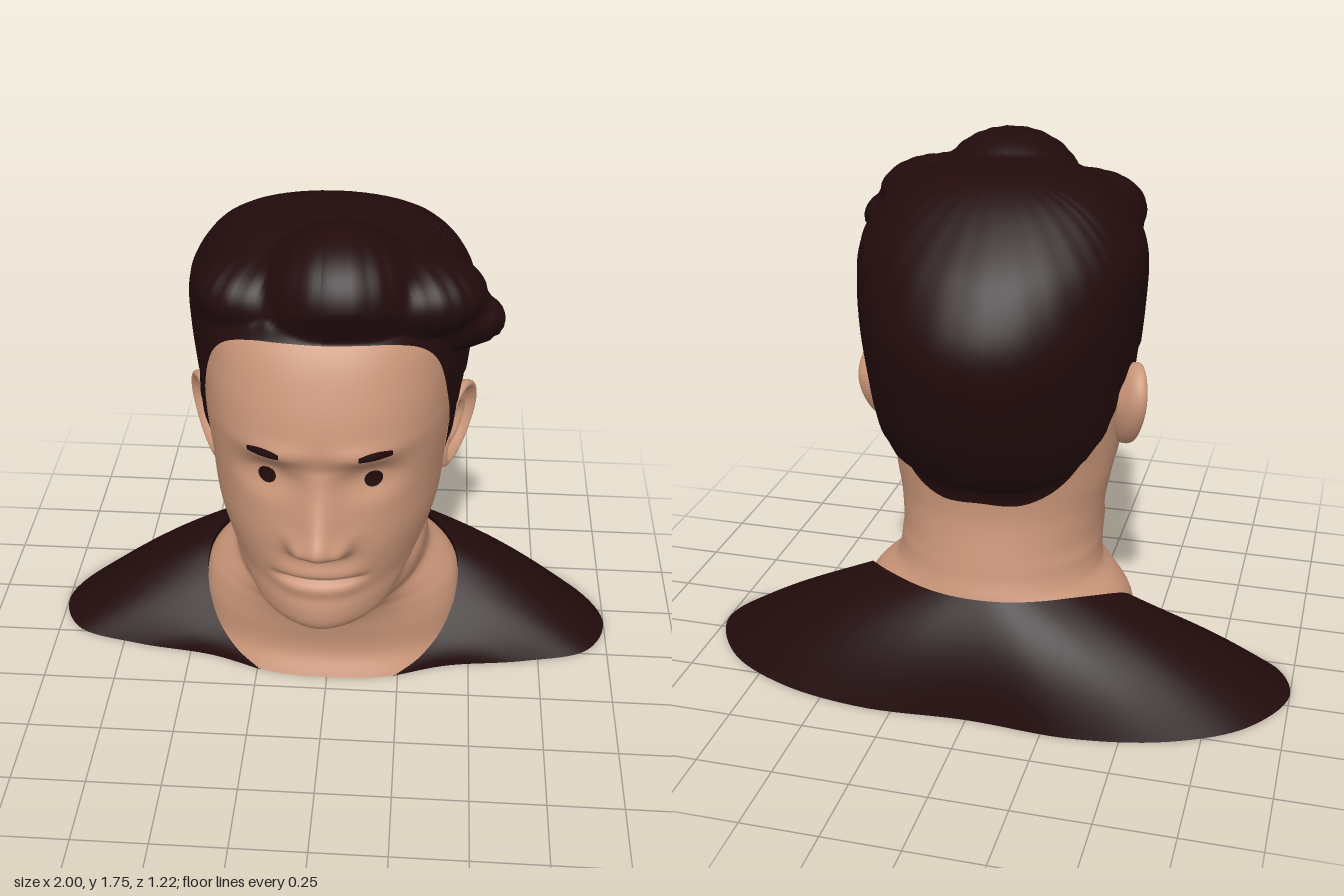
import * as THREE from 'three';
import { mergeVertices } from 'three/addons/utils/BufferGeometryUtils.js';

const skin = new THREE.MeshStandardMaterial({ name: 'skin', color: 0xc99578 });
const dark = new THREE.MeshStandardMaterial({ name: 'darkBrown', color: 0x220b0c, side: THREE.DoubleSide });

const gauss = (d, s) => Math.exp(-(d * d) / (s * s));
const V = (x, y, z) => new THREE.Vector3(x, y, z);
const step = THREE.MathUtils.smoothstep;

// Smooth interpolation of table rows [y, ...values]
function sample(rows, y) {
  const n = rows.length - 1;
  if (y <= rows[0][0]) return rows[0].slice(1);
  if (y >= rows[n][0]) return rows[n].slice(1);
  let i = 0;
  while (rows[i + 1][0] < y) i++;
  const a = rows[Math.max(i - 1, 0)], b = rows[i], c = rows[i + 1], d = rows[Math.min(i + 2, n)];
  const h = c[0] - b[0], t = (y - b[0]) / h, t2 = t * t, t3 = t2 * t;
  return b.slice(1).map((p, k) => {
    const q = c[k + 1], m0 = (q - a[k + 1]) / (c[0] - a[0]) * h, m1 = (d[k + 1] - p) / (d[0] - b[0]) * h;
    return (2 * t3 - 3 * t2 + 1) * p + (t3 - 2 * t2 + t) * m0 + (3 * t2 - 2 * t3) * q + (t3 - t2) * m1;
  });
}

// Smooth grid surface, front side along du x dv
function grid(nu, nv, fn) {
  const pos = [], idx = [];
  for (let j = 0; j <= nv; j++) for (let i = 0; i <= nu; i++) pos.push(...fn(i / nu, j / nv).toArray());
  for (let j = 0; j < nv; j++) for (let i = 0; i < nu; i++) {
    const a = j * (nu + 1) + i, d = a + nu + 1;
    idx.push(a, a + 1, d + 1, a, d + 1, d);
  }
  const g = new THREE.BufferGeometry();
  g.setAttribute('position', new THREE.Float32BufferAttribute(pos, 3));
  g.setIndex(idx);
  const m = mergeVertices(g, 1e-5);
  m.computeVertexNormals();
  return m;
}

// Cross-sections: y, front z, back z, half width, z of widest point, front roundness
const HEAD = [
  [0, .19, -.5, .45, -.12, 2.5], [.08, .15, -.5, .45, -.12, 2.4], [.2, .163, -.49, .455, -.13, 2.2],
  [.28, .19, -.48, .445, -.16, 2], [.33, .23, -.47, .41, -.17, 1.85], [.38, .315, -.455, .352, -.15, 1.7],
  [.42, .40, -.44, .34, -.13, 1.7], [.46, .475, -.43, .337, -.12, 1.75], [.5, .512, -.42, .336, -.1, 1.85],
  [.56, .52, -.405, .338, -.1, 1.95], [.62, .51, -.395, .346, -.09, 2], [.7, .512, -.395, .362, -.08, 2.1],
  [.8, .507, -.41, .376, -.06, 2.25], [.95, .49, -.47, .386, -.05, 2.4], [1.08, .495, -.53, .4, -.05, 2.4],
  [1.16, .502, -.56, .402, -.05, 2.4], [1.3, .465, -.56, .4, -.05, 2.4], [1.45, .39, -.48, .38, -.05, 2.4],
  [1.55, .28, -.37, .32, -.07, 2.3], [1.62, .1, -.23, .18, -.08, 2], [1.64, -.04, -.14, .03, -.09, 2]];
const HAIR = [
  [.62, .1, -.37, .33, -.1, 2], [.7, .2, -.425, .36, -.1, 2], [.9, .3, -.54, .41, -.1, 2],
  [1.05, .3, -.59, .43, -.1, 2], [1.2, .3, -.617, .447, -.1, 2], [1.3, .32, -.602, .455, -.1, 2],
  [1.42, .34, -.54, .457, -.1, 2], [1.5, .36, -.475, .437, -.1, 2], [1.6, .3, -.36, .37, -.1, 2],
  [1.66, .2, -.265, .28, -.1, 2], [1.69, .06, -.185, .15, -.1, 2], [1.7, -.08, -.12, .02, -.1, 2]];
// Swept-up locks: centre and radii
const LOCKS = [
  [.05, 1.56, .2, .235, .19, .232], [-.22, 1.52, .14, .19, .12, .18],
  [.26, 1.53, .165, .225, .125, .175], [.455, 1.44, .15, .09, .08, .07]];

const NOSE = [[.745, 0], [.775, .012], [.8, .065], [.84, .105], [.9, .077], [1, .03], [1.08, 0]];

// Relief of the face
function relief(x, y) {
  const ax = Math.abs(x);
  const width = .045 + .03 * THREE.MathUtils.clamp((1.05 - y) / .2, 0, 1);
  const mouth = 1 - step(ax, .08, .18);
  return sample(NOSE, y)[0] * gauss(x, width)
    + .03 * gauss(ax - .07, .03) * gauss(y - .825, .032)
    - .05 * gauss(ax - .16, .085) * gauss(y - 1.035, .055)
    + .014 * gauss(ax - .165, .05) * gauss(y - 1.03, .03)
    + .016 * gauss(ax - .13, .1) * gauss(y - 1.135, .035)
    + mouth * (.012 * gauss(y - .712, .03) + .008 * gauss(y - .64, .025) - .026 * gauss(y - .675, .013));
}
function faceZ(x, y) {
  const [zf, , w, zc, n] = sample(HEAD, y);
  return zc + (zf - zc) * Math.pow(1 - Math.pow(Math.abs(x / w), n), 1 / n) + relief(x, y);
}
function headPoint(u, y) {
  const [zf, zb, w, zc, nf] = sample(HEAD, y);
  const a = u * Math.PI * 2, th = a - .45 * Math.sin(a), s = Math.sin(th), c = Math.cos(th);
  const n = c > 0 ? nf : 2, p = (v) => Math.sign(v) * Math.pow(Math.abs(v), 2 / n);
  const x = w * p(s), z = zc + (c > 0 ? zf - zc : zc - zb) * p(c);
  // Hollow below the jaw line
  const hollow = .1 * gauss(.62 - .52 * z - y, .075) * step(z, -.1, .1) * (1 - step(z, .32, .46));
  return V(x * (1 - hollow), y, z + relief(x, y) * step(z, .15, .3));
}

// Ray length from the head centre to a solid
const CENTRE = V(0, 1.1, -.08);
function ringValue(rows, p) {
  if (p.y < rows[0][0] || p.y > rows[rows.length - 1][0]) return 9;
  const [zf, zb, w, zc, nf] = sample(rows, p.y), f = p.z > zc, n = f ? nf : 2;
  return Math.pow(Math.abs(p.x / w), n) + Math.pow(Math.abs((p.z - zc) / (f ? zf - zc : zc - zb)), n);
}
const inHead = (p) => ringValue(HEAD, p) < 1;
// Hair mass and locks melt into each other
const inHair = (p) => LOCKS.reduce((sum, [x, y, z, a, b, c]) =>
  sum + Math.exp(9 - 9 * (((p.x - x) / a) ** 2 + ((p.y - y) / b) ** 2 + ((p.z - z) / c) ** 2)),
Math.exp(9 - 9 * ringValue(HAIR, p))) > 1;
function reach(dir, inside) {
  const hit = (r) => inside(dir.clone().multiplyScalar(r).add(CENTRE));
  let r = .9;
  while (r > .1 && !hit(r)) r -= .02;
  let lo = r, hi = r + .02;
  for (let k = 0; k < 10; k++) { const m = (lo + hi) / 2; if (hit(m)) lo = m; else hi = m; }
  return lo;
}

// Half curve given front to back, continued around the mirrored side
function mirrored(pts, closed) {
  const half = pts.map((p) => V(...p));
  const other = half.slice(closed ? 1 : 0, -1).reverse().map((p) => V(-p.x, p.y, p.z));
  return new THREE.CatmullRomCurve3([...half, ...other], closed, 'centripetal');
}

function hairGeometry() {
  const line = mirrored([[0, 1.455, .385], [.12, 1.455, .375], [.21, 1.445, .345], [.29, 1.405, .29], [.335, 1.33, .235],
    [.365, 1.2, .19], [.38, 1.05, .12], [.39, .905, .075], [.39, .96, .02], [.4, 1.06, 0], [.4, 1.085, -.09],
    [.38, 1.02, -.2], [.36, .87, -.25], [.28, .75, -.31], [.15, .685, -.37], [0, .68, -.4]], true);
  const crown = V(0, 1, -.1).normalize();
  return grid(180, 60, (u, v) => {
    const t = Math.pow(v, 1.3);
    const start = line.getPoint(u % 1).sub(CENTRE).normalize();
    const axis = start.clone().cross(crown).normalize();
    const dir = start.clone().applyAxisAngle(axis, start.angleTo(crown) * t);
    const base = reach(dir, inHead);
    const full = Math.max(reach(dir, inHair), base + .014) + .0025 * Math.sin(u * 300) * (1 - t);
    const r = THREE.MathUtils.lerp(base + .003, full, step(t, 0, .1));
    return dir.multiplyScalar(r).add(CENTRE);
  });
}

const BASE = mirrored([[.24, 0, .165], [.42, 0, .1], [.7, 0, .055], [.93, 0, -.02], [1, 0, -.19],
  [.88, 0, -.41], [.65, 0, -.545], [.35, 0, -.605], [0, 0, -.59]], false);
const NECKLINE = mirrored([[.24, 0, .165], [.33, .05, .112], [.41, .13, .025], [.452, .24, -.1], [.437, .315, -.2],
  [.335, .36, -.33], [.2, .372, -.42], [.1, .375, -.457], [0, .375, -.467]], false);

function shirtGeometry() {
  return grid(120, 16, (u, t) => {
    const b = BASE.getPoint(u), n = NECKLINE.getPoint(u);
    const out = V(b.x, 0, b.z + .2).normalize(), bulge = .03 + .045 * Math.max(0, -out.z);
    out.multiplyScalar(.75).y = .65;
    return b.clone().lerp(n, t).addScaledVector(out, bulge * b.distanceTo(n) * Math.sin(Math.PI * t));
  });
}
// Flat underside through a ring of points
function underside(points, y) {
  const g = new THREE.ShapeGeometry(new THREE.Shape(points.map((p) => new THREE.Vector2(p.x, p.z))));
  return g.rotateX(Math.PI / 2).translate(0, y, 0);
}

// Ear: outline scaled inward through rim and bowl
function earGeometry(side) {
  const outline = new THREE.CatmullRomCurve3([[.02, .785], [.1, .81], [.155, .89], [.17, .98], [.135, 1.055],
    [.08, 1.08], [.02, 1.045], [0, .95], [0, .84]].map(([a, y]) => V(a, y, 0)), true);
  const rings = [[0, .5, -.065], [1, .88, -.035], [2, 1, -.008], [3, .99, .01], [4, .9, .016],
    [5, .78, .004], [6, .66, -.012], [7, .5, -.004], [8, .3, -.022], [9, .01, -.024]];
  return grid(48, 27, (u, v) => {
    const [s, h] = sample(rings, v * 9);
    const p = outline.getPoint((side > 0 ? u : 1 - u) % 1);
    const a = .07 + (p.x - .07) * s, y = .94 + (p.y - .94) * s;
    return V(side * (.383 + .5 * a + (y - .95) * .1 + h * .9), y, .01 - a + h * .45);
  });
}

// Thin plate laid on the face
function onFace(geometry, x, y) {
  const p = geometry.translate(x, y, 0).attributes.position;
  for (let i = 0; i < p.count; i++) p.setZ(i, faceZ(p.getX(i), p.getY(i)) + .005);
  geometry.computeVertexNormals();
  return geometry;
}

export function createModel() {
  const model = new THREE.Group();
  const add = (name, geometry, material) => {
    const mesh = new THREE.Mesh(geometry, material);
    mesh.name = name;
    model.add(mesh);
  };
  // Head, neck and chest
  add('headAndNeck', grid(168, 164, (u, v) => headPoint(u % 1, v * 1.64)), skin);
  add('chestUnderside', underside(Array.from({ length: 80 }, (_, i) => headPoint(i / 80, 0)), .002), skin);
  add('hair', hairGeometry(), dark);
  // Shirt
  add('shirt', shirtGeometry(), dark);
  add('shirtUnderside', underside(BASE.getPoints(120), 0), dark);
  // Paired features
  for (const [side, label] of [[1, 'left'], [-1, 'right']]) {
    add(label + 'Ear', earGeometry(side), skin);
    add(label + 'Eye', onFace(new THREE.RingGeometry(.0005, .028, 20, 3), side * .163, 1.03), dark);
    const brow = new THREE.PlaneGeometry(.1, .028, 10, 3), p = brow.attributes.position;
    for (let i = 0; i < p.count; i++) {
      const k = p.getX(i) / .05;
      p.setY(i, p.getY(i) * (1 - .4 * k * k) - .004 * k * k);
    }
    add(label + 'Eyebrow', onFace(brow, side * .17, 1.143), dark);
  }
  return model;
}
